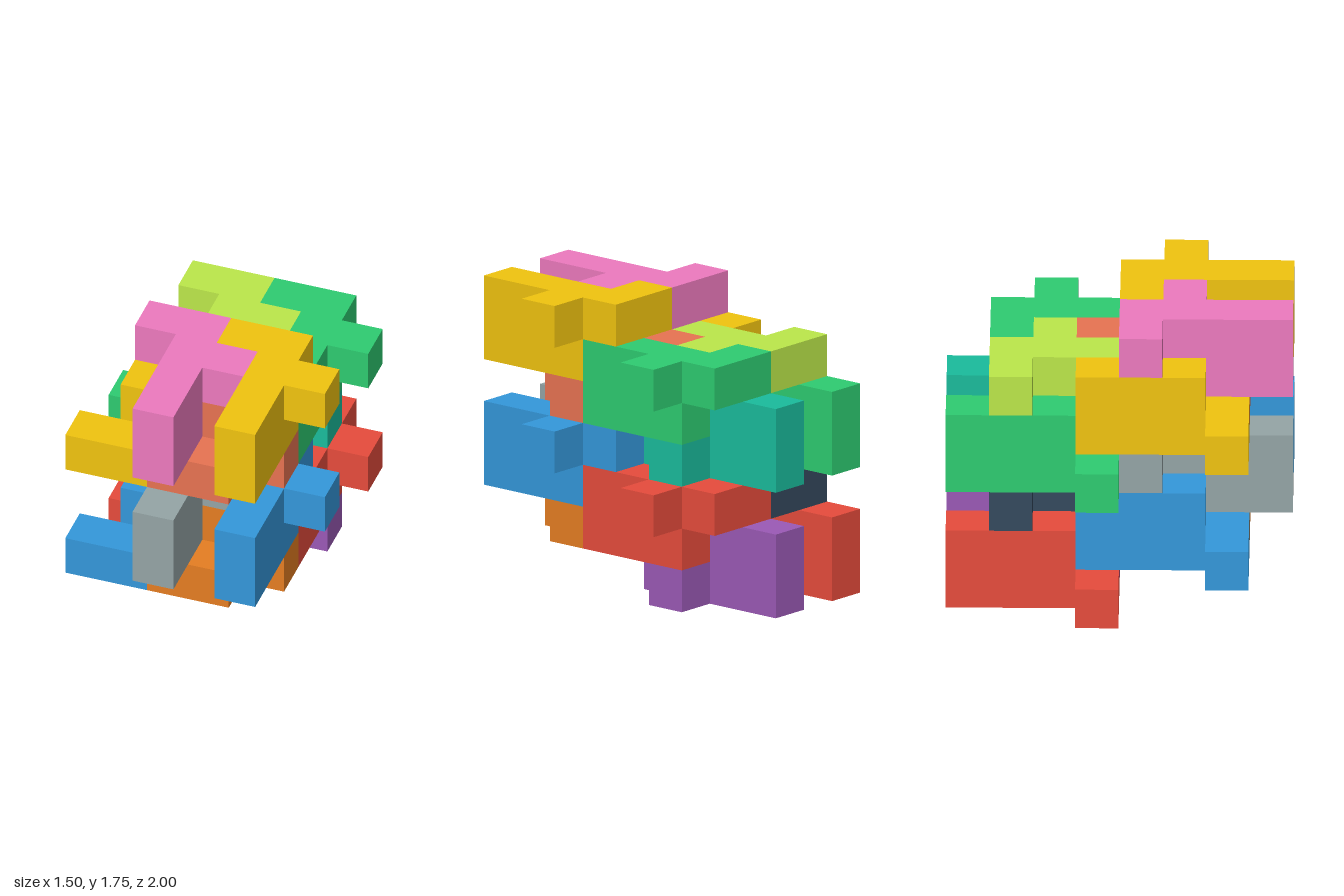
import * as THREE from 'three';
import { mergeGeometries } from 'three/addons/utils/BufferGeometryUtils.js';

const CELL = 0.25; // edge of one cube

// One interlocking piece, in cube units: a plate with two side arms and a bar beneath it
function pieceGeometry() {
  const outline = [
    [-1.5, -2], [0.5, -2], [0.5, -1], [1.5, -1], [1.5, 0],
    [0.5, 0], [0.5, 2], [-0.5, 2], [-0.5, -1], [-1.5, -1],
  ];
  const shape = new THREE.Shape(outline.map(([x, z]) => new THREE.Vector2(x, -z)));
  const plate = new THREE.ExtrudeGeometry(shape, { depth: 1, bevelEnabled: false });
  plate.rotateX(-Math.PI / 2);
  const bar = new THREE.BoxGeometry(1, 1, 3).toNonIndexed();
  bar.translate(0, -0.5, 0.5);
  return mergeGeometries([plate, bar]);
}

const YELLOW = 0xf1c40f, GREEN = 0x2ecc71, BLUE = 0x3498db, RED = 0xe74c3c;

// Colours per storey and row: [upright right, upright left, flipped right, flipped left]
const COLORS = [
  [
    [YELLOW, 0xee7abf, 0xe87352, YELLOW],  // upper storey, front row
    [GREEN, 0xbce84a, 0x1abc9c, GREEN],    // upper storey, back row
  ],
  [
    [BLUE, 0x95a5a6, 0xe67e22, BLUE],      // lower storey, front row
    [RED, 0x34495e, 0x9b59b6, RED],        // lower storey, back row
  ],
];

export function createModel() {
  const model = new THREE.Group();
  model.name = 'interlockingBlocks';
  const geometry = pieceGeometry();

  COLORS.forEach((rows, storey) => rows.forEach((colors, row) => colors.forEach((color, n) => {
    const flipped = n >= 2;
    const left = n % 2;
    const piece = new THREE.Mesh(geometry, new THREE.MeshStandardMaterial({ color }));
    piece.name = [
      storey ? 'lower' : 'upper', row ? 'Back' : 'Front',
      flipped ? 'Flipped' : 'Upright', left ? 'Inner' : 'Outer', 'Piece',
    ].join('');
    // Each row steps one cube down and three back; each storey drops three cubes
    piece.position.set(
      (flipped ? 0.5 : 1.5) - 2 * left,
      (flipped ? 5 : 6) - row - 3 * storey,
      (flipped ? 1 : 2) - 3 * row,
    ).multiplyScalar(CELL);
    piece.scale.setScalar(CELL);
    if (flipped) piece.rotation.x = Math.PI;
    model.add(piece);
  })));
  return model;
}
